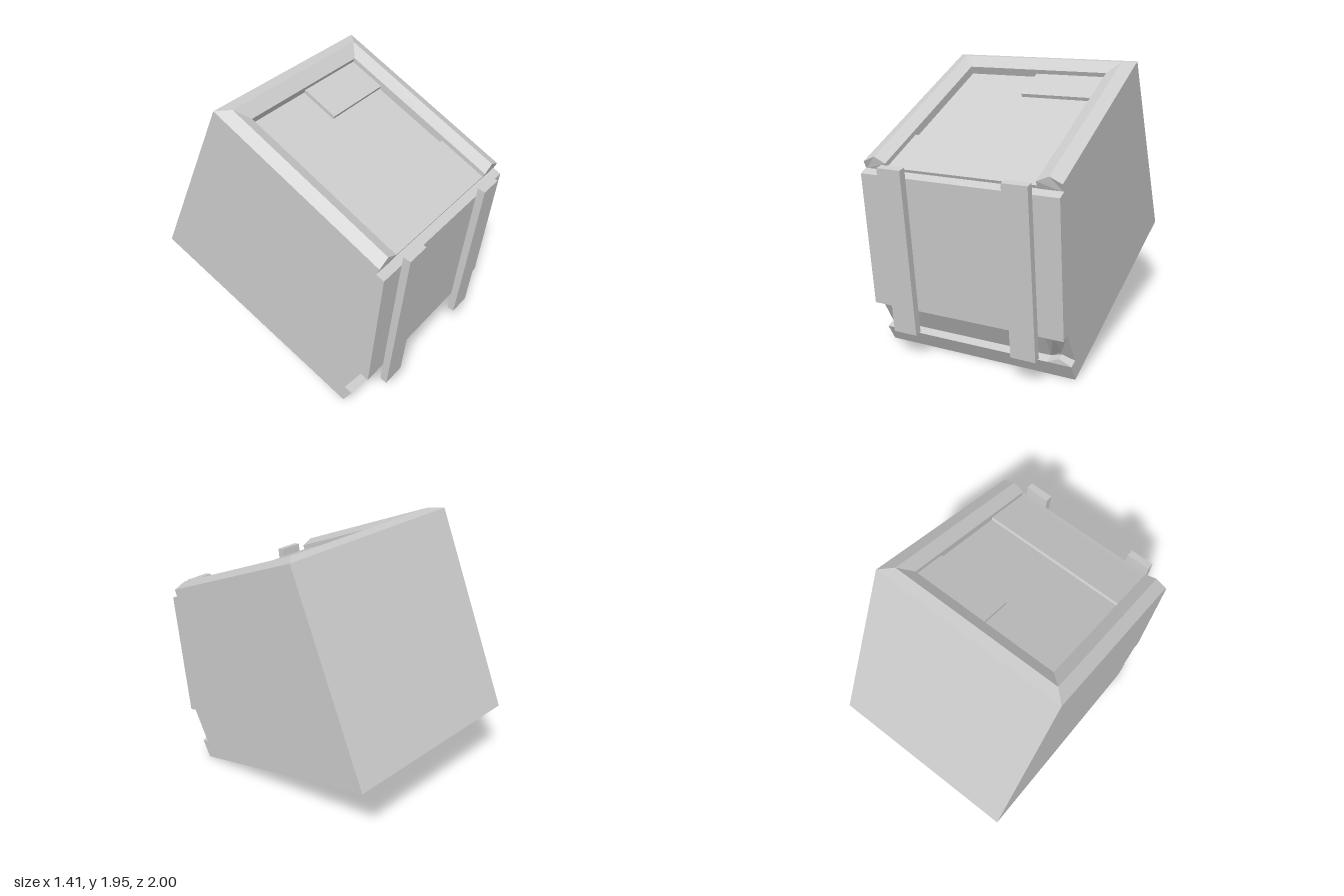
import * as THREE from 'three';

const material = new THREE.MeshStandardMaterial({ color: 0xcccccc, flatShading: true });

function add(parent, name, geometry) {
  const mesh = new THREE.Mesh(geometry, material);
  mesh.name = name;
  parent.add(mesh);
  return mesh;
}

// Side profile given as [z, y] points, extruded from x0 to x1
function sideExtrude(points, x0, x1) {
  const shape = new THREE.Shape(points.map(([z, y]) => new THREE.Vector2(z, y)));
  return new THREE.ExtrudeGeometry(shape, { depth: x1 - x0, bevelEnabled: false })
    .translate(0, 0, -x1)
    .rotateY(-Math.PI / 2);
}

// Skin over convex sections with flat caps at both ends
function loft(sections) {
  const pos = [];
  const tri = (a, b, c) => pos.push(...a, ...b, ...c);
  const n = sections[0].length;
  for (let i = 0; i < sections.length - 1; i++) {
    const s = sections[i], t = sections[i + 1];
    for (let j = 0; j < n; j++) {
      const k = (j + 1) % n;
      tri(s[j], s[k], t[k]);
      tri(s[j], t[k], t[j]);
    }
  }
  const first = sections[0], last = sections[sections.length - 1];
  for (let j = 1; j < n - 1; j++) {
    tri(first[0], first[j + 1], first[j]);
    tri(last[0], last[j], last[j + 1]);
  }
  const g = new THREE.BufferGeometry();
  g.setAttribute('position', new THREE.Float32BufferAttribute(pos, 3));
  g.computeVertexNormals();
  return g;
}

// Box between two corners
function boxBetween(x0, y0, z0, x1, y1, z1) {
  return new THREE.BoxGeometry(x1 - x0, y1 - y0, z1 - z0)
    .translate((x0 + x1) / 2, (y0 + y1) / 2, (z0 + z1) / 2);
}

export function createModel() {
  const model = new THREE.Group();
  model.name = 'tiltedCabinet';
  const half = 0.705, depth = 0.06;

  // Main tilted body with the notch low on the front
  add(model, 'body', sideExtrude([
    [0.65, 0], [0.72, 0.12], [0.66, 0.14], [0.79, 0.37], [0.85, 0.35],
    [0.935, 1.28], [0.88, 1.304], [-0.405, 1.896], [-1, 0.62],
  ], -half, half));

  // Two upright straps on the front panel
  for (const side of [-1, 1]) {
    const a = side * 0.355, b = side * 0.53;
    add(model, side > 0 ? 'leftStrap' : 'rightStrap', sideExtrude([
      [0.885, 0.185], [1, 1.345], [0.947, 1.355], [0.834, 0.195],
    ], Math.min(a, b), Math.max(a, b)));
  }

  // Ridge running through the notch on the left side
  const path = [
    [[0.79, 0.37], [0.82, 0.35]],
    [[0.66, 0.14], [0.675, 0.175]],
    [[0.72, 0.12], [0.72, 0.16]],
  ];
  add(model, 'notchRidge', loft(path.map(([[z, y], [pz, py]]) =>
    [[half, y, z], [0.62, py, pz], [0.535, y, z]])));

  // Sloping top: local y is its normal, local z runs down towards the front
  const top = new THREE.Group();
  top.name = 'slopingTop';
  top.position.set(0, 1.95, -0.38);
  top.rotation.x = THREE.MathUtils.degToRad(25);
  model.add(top);

  // Peaked rim around three sides: [inset, height]
  const section = [[0, -depth], [0.17, -depth], [0.17, 0], [0.085, 0.035], [0, 0]];
  const frontEnd = (side) => section.map(([o, h]) =>
    [side * (half - o), h, 1.412 - Math.max(h, 0) * 0.43]);
  const backCorner = (side) => section.map(([o, h]) =>
    [side * (half - o), h, o === 0.085 ? 0.075 : o * 1.04]);
  add(top, 'rim', loft([frontEnd(1), backCorner(1), backCorner(-1), frontEnd(-1)]));

  // Raised panels on the recessed floor
  add(top, 'frontFlap', boxBetween(-0.535, -depth, 1.035, 0.535, -0.032, 1.41));
  add(top, 'cornerPlate', boxBetween(0, -depth, 0.177, 0.535, -0.032, 0.451));

  return model;
}
